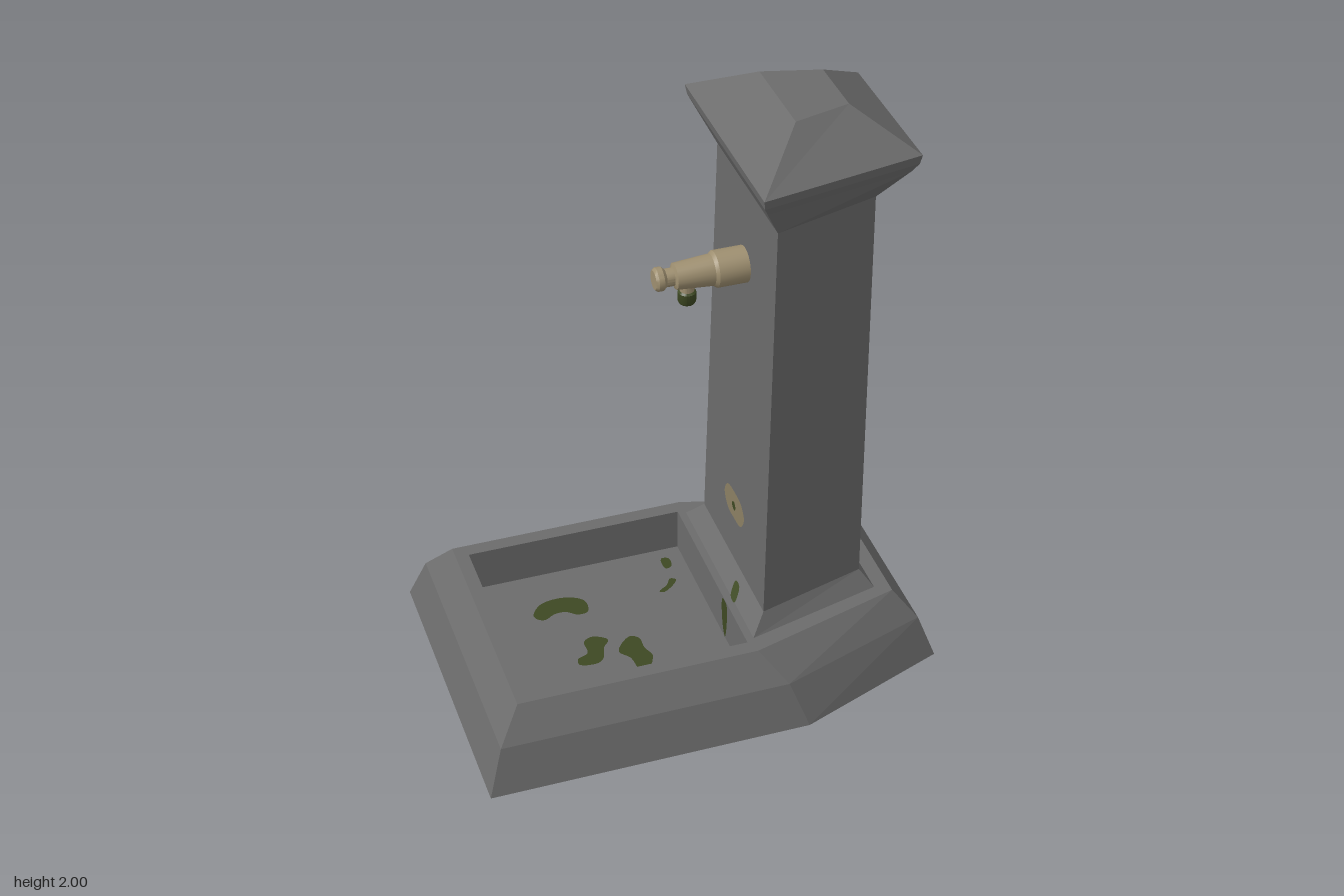
import * as THREE from 'three';
import { toCreasedNormals } from 'three/addons/utils/BufferGeometryUtils.js';

const mat = (name, color) => Object.assign(new THREE.MeshStandardMaterial({ color }), { name });

// Outline mirrored across x, listed from front to back as [halfWidth, z] pairs
function ring(y, ...half) {
  const right = half.map(([w, z]) => new THREE.Vector3(w, y, z));
  const left = half.map(([w, z]) => new THREE.Vector3(-w, y, z)).reverse();
  return [...right, ...left];
}

// Flat-faced skin through a stack of rings, optionally closed at either end
function loft(rings, { bottom = false, top = false } = {}) {
  const pts = [];
  const n = rings[0].length;
  for (let r = 0; r < rings.length - 1; r++) {
    for (let i = 0; i < n; i++) {
      const j = (i + 1) % n;
      const [a, b, c, d] = [rings[r][i], rings[r][j], rings[r + 1][j], rings[r + 1][i]];
      pts.push(a, b, c, a, c, d);
    }
  }
  for (let i = 1; i < n - 1; i++) {
    const lo = rings[0], hi = rings[rings.length - 1];
    if (bottom) pts.push(lo[0], lo[i + 1], lo[i]);
    if (top) pts.push(hi[0], hi[i], hi[i + 1]);
  }
  const geo = new THREE.BufferGeometry().setFromPoints(pts);
  geo.computeVertexNormals();
  return geo;
}

// Rounded flat patch through a few outline points
function blob(points) {
  const curve = new THREE.CatmullRomCurve3(points.map(([x, y]) => new THREE.Vector3(x, y, 0)), true);
  const outline = curve.getPoints(points.length * 4).slice(0, -1);
  return new THREE.ShapeGeometry(new THREE.Shape(outline.map(p => new THREE.Vector2(p.x, p.y))));
}

export function createModel() {
  const stone = mat('stone', 0x6b6b6b);
  const brass = mat('dull brass', 0x9e8f70);
  const moss = mat('moss green', 0x3d4822);
  const stain = mat('mineral stain', 0x8a7f63);

  const model = new THREE.Group();
  model.name = 'standpipeFountain';
  const fountain = new THREE.Group();
  fountain.name = 'fountain';
  fountain.rotation.y = -0.694;
  fountain.position.set(0.01, 0, 0.008);
  model.add(fountain);

  const add = (name, geo, material, parent = fountain) => {
    const mesh = new THREE.Mesh(geo, material);
    mesh.name = name;
    parent.add(mesh);
    return mesh;
  };

  // Base: six-sided sloping skirt
  const rim = ring(0.25, [0.39, 0.554], [0.39, -0.23], [0.25, -0.738]);
  add('baseSkirt', loft([
    ring(0, [0.51, 0.68], [0.51, -0.365], [0.323, -0.87]),
    ring(0.15, [0.463, 0.63], [0.463, -0.31], [0.295, -0.815]),
    rim,
  ], { bottom: true }), stone);

  // Base top with the basin opening, then the basin walls and floor
  const basinRing = y => ring(y, [0.343, 0.51], [0.343, -0.21]);
  const flat = pts => pts.map(p => new THREE.Vector2(p.x, -p.z));
  const topShape = new THREE.Shape(flat(rim));
  topShape.holes.push(new THREE.Path(flat(basinRing(0.25))));
  add('baseTop', new THREE.ShapeGeometry(topShape).rotateX(-Math.PI / 2).translate(0, 0.25, 0), stone);
  add('basin', loft([basinRing(0.25), basinRing(0.1)], { top: true }), stone);

  // Tapered pillar with a splayed foot
  const pillarTop = ring(1.71, [0.261, -0.298], [0.165, -0.637]);
  add('pillar', loft([
    ring(0.25, [0.33, -0.235], [0.218, -0.688]),
    ring(0.31, [0.285, -0.283], [0.185, -0.646]),
    pillarTop,
  ]), stone);

  // Overhanging cap with a hipped top
  add('cap', loft([
    pillarTop,
    ring(1.82, [0.32, -0.242], [0.23, -0.717]),
    ring(1.85, [0.338, -0.227], [0.245, -0.733]),
    ring(1.88, [0.345, -0.222], [0.25, -0.738]),
    ring(2, [0.15, -0.384], [0.103, -0.564]),
  ], { top: true }), stone);

  // Tap: turned body pointing forward, with a spout below
  const tap = new THREE.Group();
  tap.name = 'tap';
  tap.position.set(0.003, 1.445, 0);
  fountain.add(tap);
  const turned = profile => toCreasedNormals(
    new THREE.LatheGeometry(profile.map(([r, y]) => new THREE.Vector2(r, y)), 20), 0.6);
  add('tapBody', turned([
    [0.057, -0.32], [0.057, -0.2], [0.049, -0.19], [0.041, -0.075], [0.028, -0.07],
    [0.028, -0.045], [0.037, -0.035], [0.037, -0.018], [0.03, -0.01], [0, -0.01],
  ]).rotateX(Math.PI / 2), brass, tap);
  add('spoutCollar', turned([[0, -0.06], [0.022, -0.06], [0.022, -0.02]]), brass, tap)
    .position.z = -0.115;
  add('spout', turned([[0, -0.1], [0.024, -0.1], [0.028, -0.092], [0.028, -0.062], [0.02, -0.055], [0, -0.055]]), moss, tap)
    .position.z = -0.115;

  // Water stain on the pillar face
  const mark = add('waterStain', blob([
    [0.09, 0.01], [0.06, 0.045], [0, 0.052], [-0.065, 0.042], [-0.092, -0.005],
    [-0.06, -0.045], [0, -0.05], [0.06, -0.042],
  ]), stain);
  mark.position.set(0.005, 0.525, -0.281);
  mark.rotation.x = -0.011;
  const speck = add('stainCentre', new THREE.CircleGeometry(0.016, 10), moss);
  speck.position.set(0.005, 0.525, -0.279);

  // Moss running down the foot and the back wall of the basin
  const footMoss = add('footMoss', blob([
    [-0.03, 0.045], [0.005, 0.045], [0.035, 0.002], [0, 0.002], [-0.02, 0.022],
  ]), moss);
  footMoss.position.set(0.12, 0.252, -0.232);
  footMoss.rotation.x = -0.675;
  add('wallMoss', blob([[-0.02, 0.07], [0.02, 0.07], [0.025, 0], [0.01, -0.07], [-0.015, -0.03]]), moss)
    .position.set(0.135, 0.178, -0.207);

  // Moss patches on the basin floor, as [x, z] outlines
  const patches = [
    [[-0.33, 0.18], [-0.34, 0.12], [-0.29, 0.05], [-0.23, 0.03], [-0.19, 0.07], [-0.21, 0.1], [-0.25, 0.11], [-0.275, 0.14], [-0.285, 0.18], [-0.31, 0.19]],
    [[-0.11, 0.165], [-0.06, 0.15], [-0.05, 0.19], [-0.025, 0.23], [-0.025, 0.26], [-0.07, 0.3], [-0.09, 0.28], [-0.08, 0.24], [-0.12, 0.2]],
    [[-0.01, 0.1], [0.02, 0.09], [0.06, 0.12], [0.1, 0.135], [0.12, 0.17], [0.14, 0.2], [0.11, 0.22], [0.05, 0.185], [0, 0.18]],
    [[-0.13, -0.285], [-0.11, -0.3], [-0.08, -0.27], [-0.09, -0.25]],
    [[-0.05, -0.215], [-0.03, -0.22], [-0.03, -0.145], [-0.045, -0.14], [-0.042, -0.18]],
    [[-0.245, 0.46], [-0.22, 0.44], [-0.215, 0.465], [-0.235, 0.47]],
    [[-0.13, 0.565], [-0.1, 0.54], [-0.07, 0.57], [-0.09, 0.59]],
  ];
  for (const p of patches) {
    add('floorMoss', blob(p.map(([x, z]) => [x, -z])).rotateX(-Math.PI / 2), moss, model)
      .position.y = 0.104;
  }
  return model;
}
